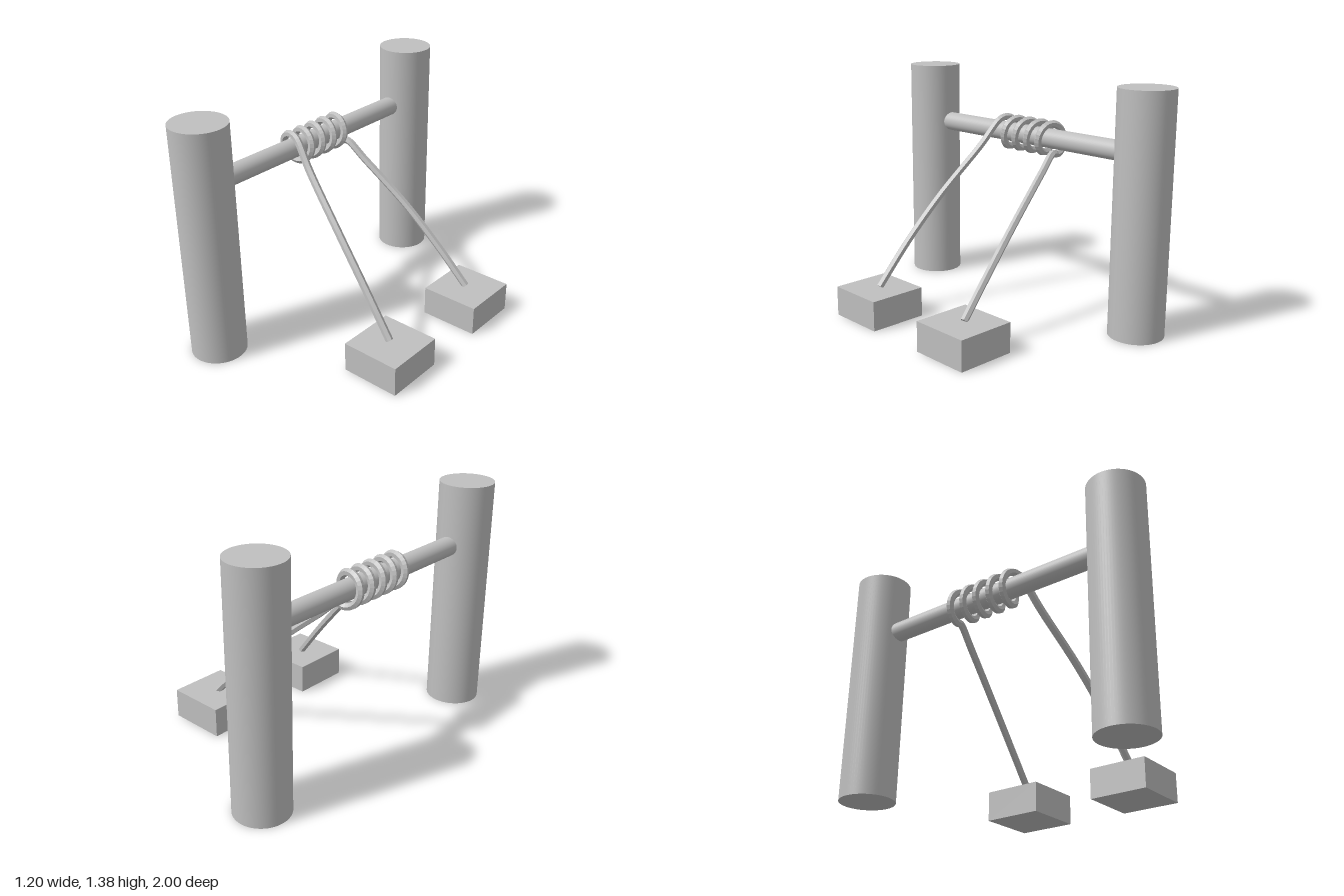
import * as THREE from 'three';

const BAR_X = -0.442, BAR_Y = 1.02;

export function createModel() {
  const model = new THREE.Group();
  const grey = new THREE.MeshStandardMaterial({ color: 0xbfbfbf });
  grey.name = 'plain grey';

  const add = (name, geometry, x = 0, y = 0, z = 0) => {
    const mesh = new THREE.Mesh(geometry, grey);
    mesh.name = name;
    mesh.position.set(x, y, z);
    model.add(mesh);
    return mesh;
  };
  const faceted = (geometry) => {
    const flat = geometry.toNonIndexed();
    flat.computeVertexNormals();
    return flat;
  };

  // Upright posts and the weight blocks, mirrored front to back
  for (const [side, s] of [['front', 1], ['back', -1]]) {
    add(side + 'Post', new THREE.CylinderGeometry(0.158, 0.158, 1.38, 64), BAR_X, 0.69, s * 0.842);
    add(side + 'Block', new THREE.BoxGeometry(0.35, 0.175, 0.35), 0.425, 0.0875, s * 0.363);
  }

  // Crossbar between the posts
  add('crossbar', new THREE.CylinderGeometry(0.057, 0.057, 1.6, 48).rotateX(Math.PI / 2), BAR_X, BAR_Y, 0);

  // Rope: back tail, coil around the bar, front tail
  const points = [
    new THREE.Vector3(0.42, 0.177, -0.363),
    new THREE.Vector3(0.22, 0.39, -0.341),
    new THREE.Vector3(0, 0.605, -0.309),
    new THREE.Vector3(-0.28, 0.845, -0.256),
  ];
  const coilRadius = 0.086, pitch = 0.0925;
  const start = -Math.PI - 0.5, end = 8 * Math.PI + 0.9, steps = 60;
  for (let i = 0; i <= steps; i++) {
    const a = start + (end - start) * i / steps;
    points.push(new THREE.Vector3(
      BAR_X + coilRadius * Math.sin(a),
      BAR_Y + coilRadius * Math.cos(a),
      -0.18 + pitch * a / (2 * Math.PI)));
  }
  points.push(
    new THREE.Vector3(-0.28, 0.955, 0.23),
    new THREE.Vector3(0, 0.67, 0.297),
    new THREE.Vector3(0.22, 0.425, 0.336),
    new THREE.Vector3(0.42, 0.177, 0.363));
  const path = new THREE.CatmullRomCurve3(points, false, 'centripetal');
  path.arcLengthDivisions = 1000;
  add('rope', faceted(new THREE.TubeGeometry(path, 240, 0.022, 6)));

  // Cut rope ends
  for (const [name, t, s] of [['backRopeEnd', 0, -1], ['frontRopeEnd', 1, 1]]) {
    const p = path.getPointAt(t);
    const cap = add(name, new THREE.CircleGeometry(0.022, 6), p.x, p.y, p.z);
    cap.lookAt(p.clone().addScaledVector(path.getTangentAt(t), s));
  }
  return model;
}
